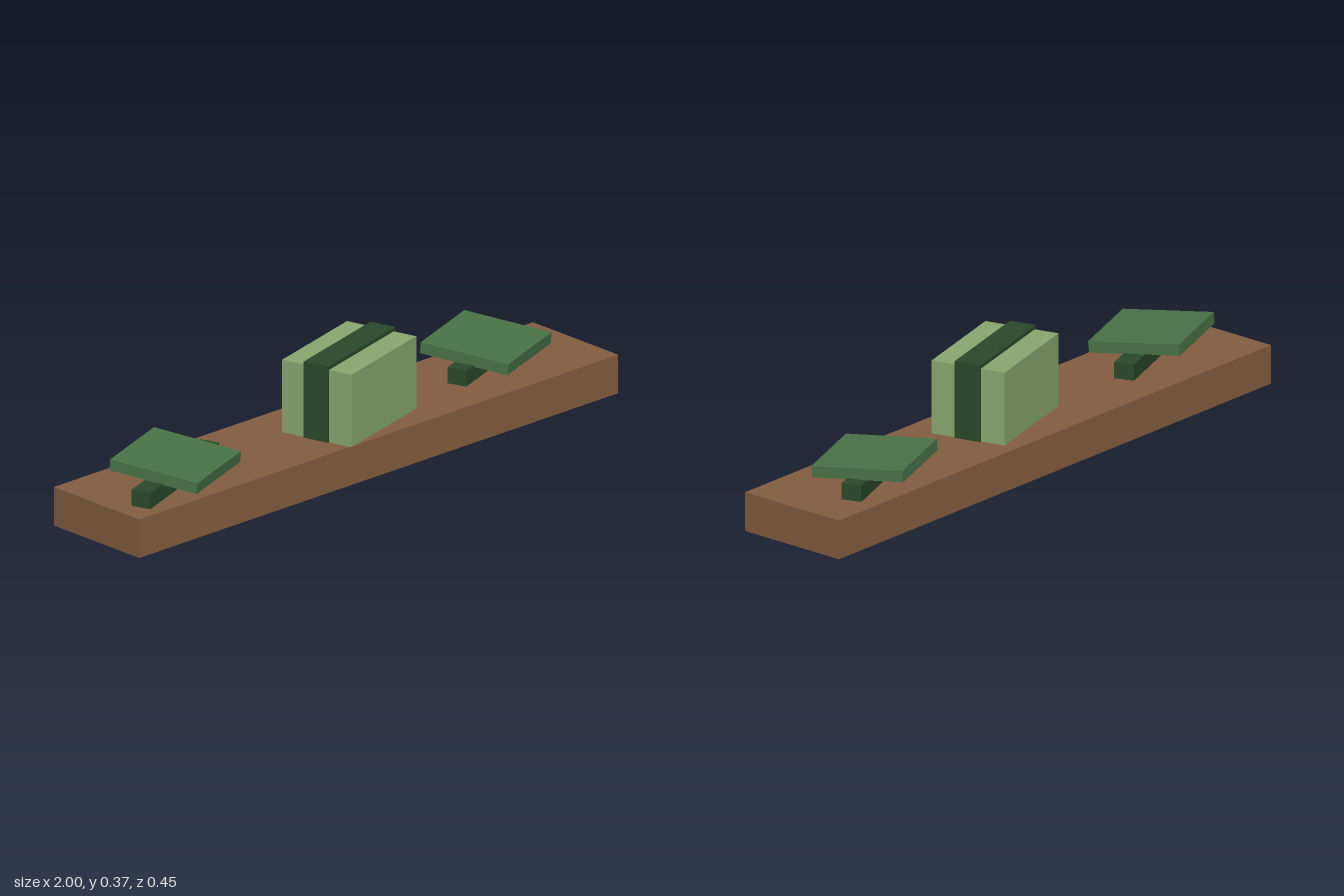
import * as THREE from 'three';

const material = (name, color, extra = {}) => {
  const m = new THREE.MeshStandardMaterial({ color, ...extra });
  m.name = name;
  return m;
};

export function createModel() {
  const wood = material('brown wood', 0x845e41, { side: THREE.DoubleSide });
  const lightGreen = material('light green', 0x89a970);
  const midGreen = material('mid green', 0x4a7348);
  const darkGreen = material('dark green', 0x2a4a2b);

  const model = new THREE.Group();
  model.name = 'shelfWithBlocks';
  const shelfTop = 0.125;

  const addBox = (parent, name, mat, size, position) => {
    const mesh = new THREE.Mesh(new THREE.BoxGeometry(...size), mat);
    mesh.name = name;
    mesh.position.set(...position);
    parent.add(mesh);
    return mesh;
  };

  const addGroup = (name, x, z, turn) => {
    const group = new THREE.Group();
    group.name = name;
    group.position.set(x, shelfTop, z);
    group.rotation.y = turn;
    model.add(group);
    return group;
  };

  // Hollow shelf: a thin shell without its bottom face
  const shelf = addBox(model, 'shelf', wood, [2, shelfTop, 0.375], [0, shelfTop / 2, -0.0045]);
  const indices = Array.from(shelf.geometry.index.array);
  indices.splice(18, 6);
  shelf.geometry.setIndex(indices);
  shelf.geometry.clearGroups();

  // Upright block with a slightly larger dark band through its middle
  const upright = addGroup('uprightBlock', 0.032, 0.02, 0.265);
  addBox(upright, 'block', lightGreen, [0.378, 0.235, 0.245], [0, 0.1175, 0]);
  addBox(upright, 'band', darkGreen, [0.39, 0.247, 0.086], [0, 0.1235, 0]);

  // Tilted square plates, each resting on a dark bar
  const plates = [
    { name: 'rightPlateStand', x: -0.706, z: 0.032, bar: 0.472, tilt: 0.095, y: 0.07 },
    { name: 'leftPlateStand', x: 0.658, z: -0.039, bar: 0.397, tilt: 0.075, y: 0.068 },
  ];
  for (const p of plates) {
    const stand = addGroup(p.name, p.x, p.z, 0.355);
    addBox(stand, 'bar', darkGreen, [p.bar, 0.052, 0.064], [0, 0.026, 0]);
    const plate = addBox(stand, 'plate', midGreen, [0.3, 0.036, 0.295], [0, p.y, 0]);
    plate.rotation.x = p.tilt;
  }

  return model;
}
